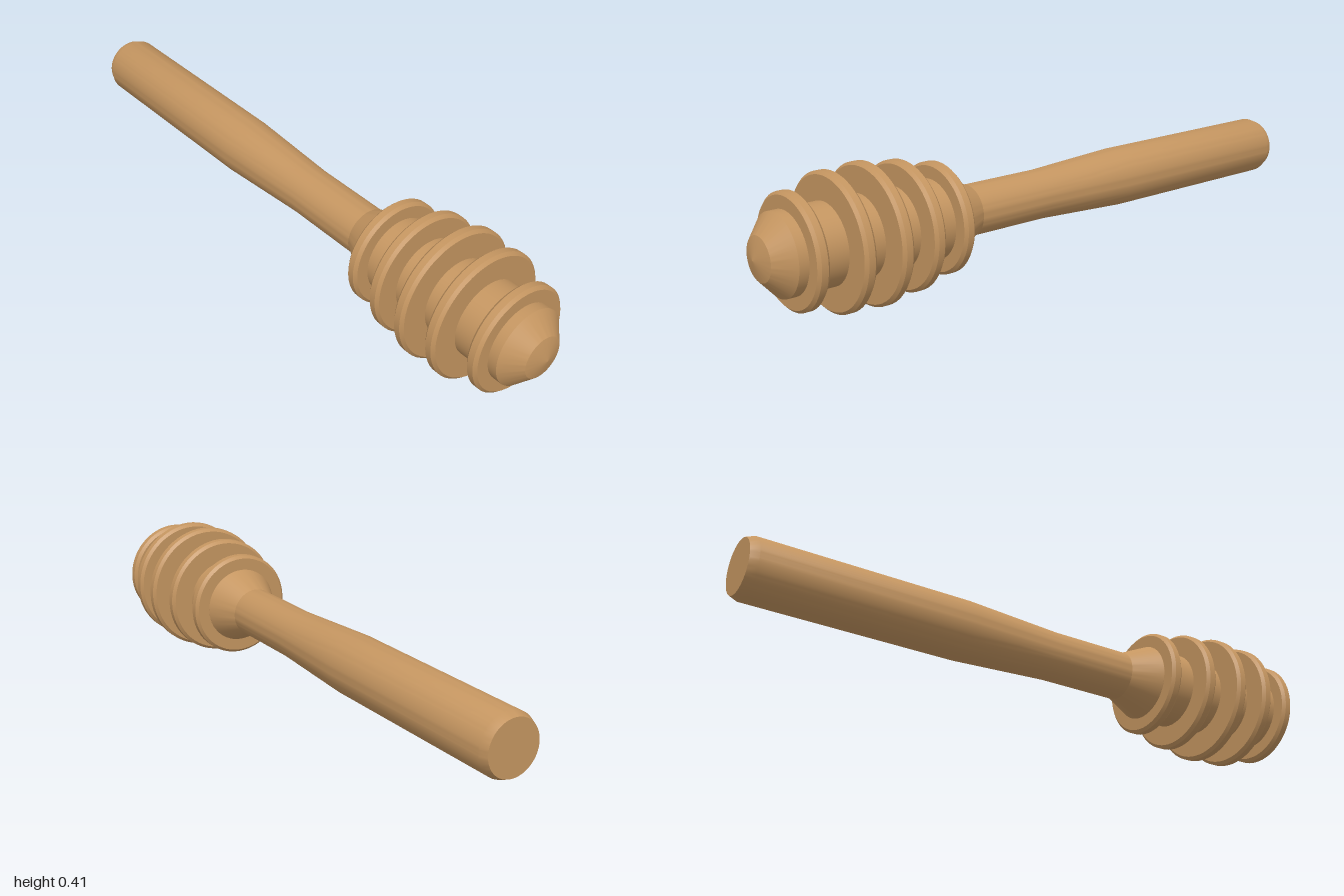
import * as THREE from 'three';
import { toCreasedNormals } from 'three/addons/utils/BufferGeometryUtils.js';

const AXIS_Y = 0.207;
const SEGMENTS = 64;

// Turns a profile of [x, radius] pairs around the long axis.
function turned(name, profile, material) {
  const points = profile.map(([x, r]) => new THREE.Vector2(r, x));
  const lathe = new THREE.LatheGeometry(points, SEGMENTS).rotateZ(-Math.PI / 2);
  const mesh = new THREE.Mesh(toCreasedNormals(lathe, 0.42), material);
  mesh.name = name;
  return mesh;
}

export function createModel() {
  const model = new THREE.Group();
  model.name = 'honeyDipper';
  const wood = new THREE.MeshStandardMaterial({ color: 0xc49560 });
  wood.name = 'warm wood';

  const dipper = new THREE.Group();
  dipper.name = 'dipper';
  dipper.position.y = AXIS_Y;
  model.add(dipper);

  // Handle with chamfered end, slim neck and flare into the head
  dipper.add(turned('handle', [
    [-1, 0], [-1, 0.083], [-0.975, 0.093], [-0.3, 0.093], [-0.14, 0.085],
    [0.02, 0.077], [0.29, 0.077], [0.385, 0.12],
  ], wood));

  // Head core with blunt conical nose
  dipper.add(turned('headCore', [
    [0.385, 0.12], [0.93, 0.12], [0.981, 0.065], [1, 0],
  ], wood));

  // Chamfered rings: [centre x, radius]
  const rings = [[0.405, 0.167], [0.526, 0.192], [0.643, 0.207], [0.759, 0.201], [0.881, 0.167]];
  const half = 0.019, bevel = 0.009;
  rings.forEach(([x, r], i) => {
    dipper.add(turned(`ring${i + 1}`, [
      [x - half, 0.11], [x - half, r - bevel], [x - half + bevel, r],
      [x + half - bevel, r], [x + half, r - bevel], [x + half, 0.11],
    ], wood));
  });

  return model;
}
